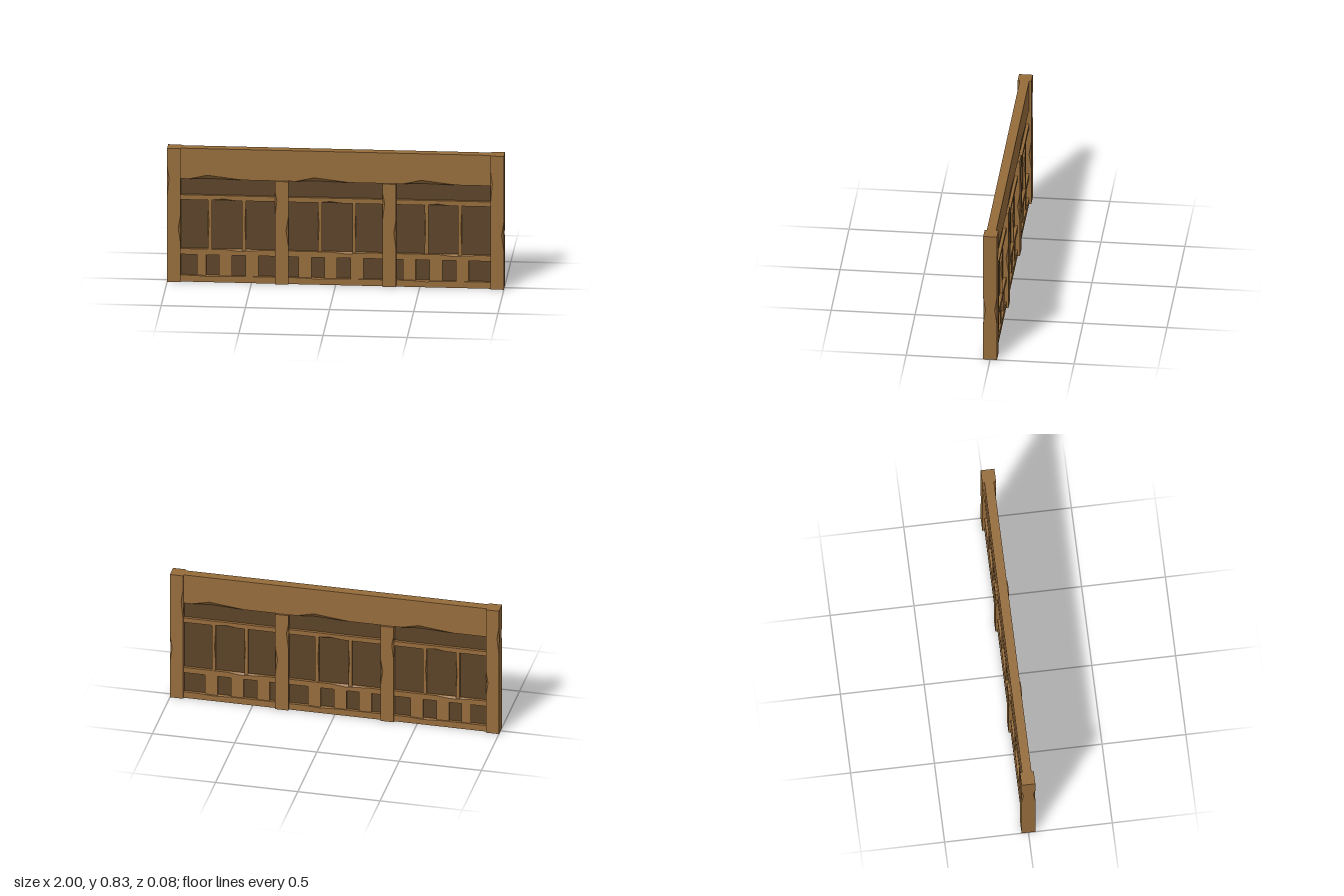
import * as THREE from 'three';

const wood = new THREE.MeshStandardMaterial({ color: 0x966c3b, flatShading: true });
const panelWood = new THREE.MeshStandardMaterial({ color: 0x5c4428, flatShading: true });

// Chip size at t: chip = [start, peak, end, inPlaneDepth, zDepth]
function chipAt(chips, t) {
  for (const [a, p, b, u, v] of chips) {
    if (t > a && t < b) {
      const k = t <= p ? (t - a) / (p - a) : (b - t) / (b - p);
      return [u * k, v * k];
    }
  }
  return [0, 0];
}

// Squared timber running along +y from t0 to t1, width 2*hu, depth 2*hv.
// Chips are listed per long edge: fl, fr, br, bl (front/back, left = -x).
function timber(t0, t1, hu, hv, { fl = [], fr = [], br = [], bl = [] } = {}) {
  const stations = [...new Set([t0, t1, ...[fl, fr, br, bl].flat().flatMap(c => c.slice(0, 3))])]
    .filter(t => t >= t0 && t <= t1).sort((a, b) => a - b);
  const pos = [], index = [];
  for (const t of stations) {
    const [a, b, c, d] = [fl, fr, br, bl].map(e => chipAt(e, t));
    const ring = [
      [-hu, hv - a[1]], [-hu + a[0], hv], [hu - b[0], hv], [hu, hv - b[1]],
      [hu, -hv + c[1]], [hu - c[0], -hv], [-hu + d[0], -hv], [-hu, -hv + d[1]],
    ];
    for (const [x, z] of ring) pos.push(x, t, z);
  }
  const n = stations.length;
  for (let i = 0; i < n - 1; i++) {
    for (let j = 0; j < 8; j++) {
      const a = i * 8 + j, b = i * 8 + (j + 1) % 8;
      index.push(a, b, b + 8, a, b + 8, a + 8);
    }
  }
  for (let j = 1; j < 7; j++) {
    index.push(0, j + 1, j);
    const e = (n - 1) * 8;
    index.push(e, e + j, e + j + 1);
  }
  const g = new THREE.BufferGeometry();
  g.setAttribute('position', new THREE.Float32BufferAttribute(pos, 3));
  g.setIndex(index);
  const flat = g.toNonIndexed();
  flat.computeVertexNormals();
  return flat;
}

export function createModel() {
  const wall = new THREE.Group();
  wall.name = 'timberWall';
  const add = (name, geometry, x = 0, y = 0, material = wood) => {
    const m = new THREE.Mesh(geometry, material);
    m.name = name;
    m.position.set(x, y, 0);
    wall.add(m);
    return m;
  };

  // Horizontal timber from y0 to y1; the local left edge becomes the lower edge.
  // The back carries the same wear turned half round.
  const turn = chips => chips.map(([a, p, b, u, v]) => [-b, -p, -a, u, v]);
  const rail = (name, y0, y1, hv, lower = [], upper = []) => {
    // Lying the timber along +x sends local +x to -y, so fr is the lower edge.
    const g = timber(-0.94, 0.94, (y1 - y0) / 2, hv,
      { fr: lower, fl: upper, br: turn(lower), bl: turn(upper) });
    g.rotateZ(-Math.PI / 2);
    add(name, g, 0, (y0 + y1) / 2);
  };
  const bays = [-0.636, 0, 0.636];
  const perBay = (a, p, b, u, v) => bays.map(x => [x + a, x + p, x + b, u, v]);

  // Recessed infill, seen from both faces
  add('infillPanel', new THREE.BoxGeometry(1.88, 0.68, 0.02), 0, 0.36, panelWood);

  // Head beam and rails
  rail('headBeam', 0.64, 0.83, 0.028, perBay(-0.235, -0.128, 0.085, 0.025, 0.018));
  rail('upperRail', 0.54 - 0.03, 0.54, 0.028, perBay(-0.11, -0.03, 0.04, 0.01, 0.015));
  rail('middleRail', 0.17, 0.205, 0.028, [], perBay(-0.02, 0.06, 0.21, 0.01, 0.015));
  rail('baseRail', 0, 0.04, 0.028, [], perBay(-0.2, -0.1, 0.03, 0.006, 0.014));

  // Posts, worn high on the left edges and low on the right edges
  for (const [x, h, lo, hi] of [[-0.96, 0.83, 0.53, 0.72], [-0.32, 0.64, 0.42, 0.58],
    [0.32, 0.64, 0.42, 0.58], [0.96, 0.83, 0.53, 0.74]]) {
    const high = [[lo, (lo + hi) / 2 + 0.02, hi, 0.012, 0.012]];
    const low = [[0.24, 0.335, 0.42, 0.014, 0.014]];
    add(h > 0.7 ? 'cornerPost' : 'middlePost',
      timber(0, h, 0.04, 0.041, { fl: high, bl: high, fr: low, br: low }), x);
  }

  // Slim stiles dividing the middle band
  [-0.747, -0.545, -0.093, 0.11, 0.54, 0.738].forEach((x, i) => {
    const worn = [[0.27, 0.37, 0.46, 0.006, 0.008]];
    const edges = i % 2 ? { fr: worn, bl: worn } : { fl: worn, br: worn };
    add('stile', timber(0.19, 0.52, 0.011, 0.025, edges), x);
  });

  // Short piers along the lower band
  for (const x of [-0.797, -0.655, -0.497, -0.183, -0.03, 0.126, 0.437, 0.595, 0.752]) {
    const w = x < -0.7 ? 0.055 : 0.076;
    add('pier', new THREE.BoxGeometry(w, 0.15, 0.044), x, 0.105);
  }

  return wall;
}
